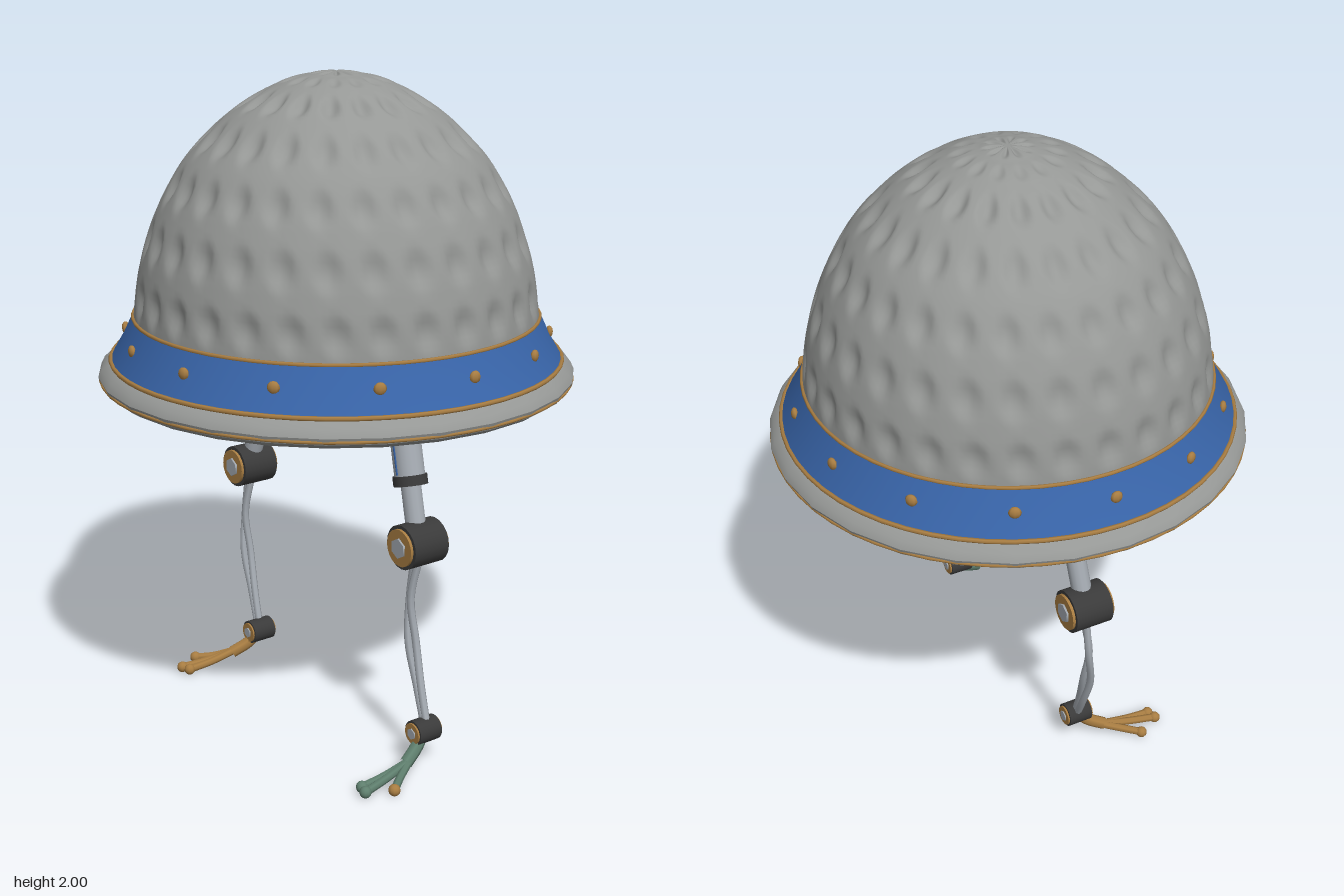
import * as THREE from 'three';
import { mergeVertices, toCreasedNormals } from 'three/addons/utils/BufferGeometryUtils.js';

const makeMaterial = (name, color, side = THREE.FrontSide) => {
  const m = new THREE.MeshStandardMaterial({ color, side });
  m.name = name;
  return m;
};
const V = (x, y, z) => new THREE.Vector3(x, y, z);

export function createModel() {
  const model = new THREE.Group();
  model.name = 'domedWalker';
  const shell = makeMaterial('shellGrey', 0x969896);
  const blue = makeMaterial('bandBlue', 0x3864a8);
  const gold = makeMaterial('brass', 0xa87d42);
  const dark = makeMaterial('charcoal', 0x3a3a3a);
  const steel = makeMaterial('paleSteel', 0xa3a9b0);
  const green = makeMaterial('patinaGreen', 0x5f7f6e);

  const add = (parent, name, geometry, material) => {
    const mesh = new THREE.Mesh(geometry, material);
    mesh.name = name;
    parent.add(mesh);
    return mesh;
  };
  // Turned part from [radius, height] pairs, listed bottom to top
  const lathe = (parent, name, pairs, material, sides) => {
    const g = new THREE.LatheGeometry(pairs.map(([r, y]) => new THREE.Vector2(r, y)), sides);
    return add(parent, name, toCreasedNormals(g, 0.6), material);
  };
  const ring = (name, r, y, thickness) => {
    const mesh = add(model, name, new THREE.TorusGeometry(r, thickness, 6, 56), gold);
    mesh.rotation.x = Math.PI / 2;
    mesh.position.y = y;
  };
  // Cylinder running from point a to point b
  const rod = (parent, name, a, b, r, material, sides = 16, rEnd = r) => {
    const mesh = add(parent, name, new THREE.CylinderGeometry(rEnd, r, a.distanceTo(b), sides), material);
    mesh.position.copy(a).lerp(b, 0.5);
    mesh.quaternion.setFromUnitVectors(V(0, 1, 0), b.clone().sub(a).normalize());
    return mesh;
  };
  const tube = (parent, name, points, r, material) =>
    add(parent, name, new THREE.TubeGeometry(new THREE.CatmullRomCurve3(points), 20, r, 7), material);
  // Hinge drum along z with a brass cap and a hexagonal pin at both ends
  const hinge = (parent, name, c, r, length) => {
    const g = new THREE.Group();
    g.name = name;
    parent.add(g);
    const span = (part, rr, l, m, sides) =>
      rod(g, part, V(c.x, c.y, c.z - l / 2), V(c.x, c.y, c.z + l / 2), rr, m, sides);
    span('drum', r, length, dark, 20);
    span('caps', r * 0.84, length * 1.14, gold, 20);
    span('pin', r * 0.46, length * 1.24, steel, 6);
  };

  // Dome built from courses of dimpled plates: [radius, height, dimples in the course above]
  const courses = [[0.618, 1.26, 30], [0.594, 1.43, 28], [0.537, 1.6, 26], [0.45, 1.75, 22],
    [0.318, 1.88, 18], [0.18, 1.962, 14], [0.086, 1.991, 10], [0, 2, 0]];
  const steps = 9;
  const profile = [];
  for (let i = 0; i < courses.length - 1; i++) {
    const [r0, y0] = courses[i];
    const [r1, y1] = courses[i + 1];
    for (let k = 0; k < steps; k++) {
      const t = k / steps;
      const bulge = 0.016 * t * (1 - t);
      profile.push(new THREE.Vector2(r0 + (r1 - r0) * t + bulge, y0 + (y1 - y0) * t + bulge));
    }
  }
  profile.push(new THREE.Vector2(0, 2));
  const segments = 210;
  let dome = new THREE.LatheGeometry(profile, segments);
  const pos = dome.attributes.position;
  for (let i = 0; i < pos.count; i++) {
    const row = i % profile.length;
    const course = Math.min(Math.floor(row / steps), courses.length - 2);
    const v = (row / steps - course - 0.5) * 2;
    const count = courses[course][2];
    const turn = (Math.floor(i / profile.length) % segments) / segments;
    const u = (((turn * count + course * 0.5) % 1) - 0.5) * 2;
    const d = Math.min(1, Math.hypot(u, v) / 0.72);
    const depth = (course > 4 ? 0.008 : 0.018) * (1 - d * d) ** 1.5;
    const inward = V(pos.getX(i), (pos.getY(i) - 1.2) * 0.6, pos.getZ(i)).normalize().multiplyScalar(-depth);
    pos.setXYZ(i, pos.getX(i) + inward.x, pos.getY(i) + inward.y, pos.getZ(i) + inward.z);
  }
  dome.deleteAttribute('uv');
  dome.deleteAttribute('normal');
  dome = mergeVertices(dome, 1e-5);
  dome.computeVertexNormals();
  add(model, 'dimpledDome', dome, shell);

  // Blue band, brass trims and rivets
  lathe(model, 'blueBand', [[0.69, 1.145], [0.655, 1.205], [0.622, 1.275], [0.6, 1.278]], blue, 56);
  ring('upperTrim', 0.62, 1.275, 0.006);
  ring('lowerTrim', 0.691, 1.145, 0.007);
  ring('rimTrim', 0.724, 1.088, 0.005);
  for (let i = 0; i < 14; i++) {
    const a = (i / 14) * Math.PI * 2;
    const rivet = add(model, 'bandRivet', new THREE.SphereGeometry(0.019, 8, 6), gold);
    rivet.position.set(Math.cos(a) * 0.652, 1.215, Math.sin(a) * 0.652);
    rivet.scale.set(0.6, 1, 1);
    rivet.rotation.y = -a;
  }

  // Flared rim with a flat underside
  lathe(model, 'rim', [[0.4, 1.064], [0.7, 1.064], [0.724, 1.08], [0.731, 1.1],
    [0.72, 1.122], [0.69, 1.143], [0.66, 1.15]], shell, 28);

  // Shallow dark bowl below, with rivets round its edge
  lathe(model, 'underBowl', [[0, 1.0], [0.37, 1.0], [0.41, 1.012], [0.445, 1.035],
    [0.465, 1.066]], dark, 40);
  for (let i = 0; i < 8; i++) {
    const a = (i / 8) * Math.PI * 2;
    const rivet = add(model, 'bowlRivet', new THREE.SphereGeometry(0.03, 10, 6), gold);
    rivet.position.set(Math.cos(a) * 0.405, 1.012, Math.sin(a) * 0.405);
    rivet.scale.y = 0.4;
  }

  // Two small lamps under the front edge
  for (const s of [-1, 1]) {
    const a = V(s * 0.16, 0.992, 0.25);
    const dir = V(s * 0.4, 0, 0.9).normalize();
    const at = (d) => a.clone().addScaledVector(dir, d);
    rod(model, 'lampBody', at(0), at(0.065), 0.03, dark, 10);
    rod(model, 'lampRing', at(0.05), at(0.07), 0.024, gold, 10);
    rod(model, 'lampLens', at(0.06), at(0.074), 0.013, steel, 6);
  }

  // Legs: mirrored pistons, but both shins sweep towards +x
  for (const s of [-1, 1]) {
    const leg = new THREE.Group();
    leg.name = s > 0 ? 'leftLeg' : 'rightLeg';
    model.add(leg);
    const hip = V(s * 0.342, 1.03, 0.008);
    const knee = V(s * 0.449, 0.67, 0.03);
    const along = (t) => hip.clone().lerp(knee, t);
    rod(leg, 'pistonSleeve', hip, along(0.48), 0.046, steel, 20);
    rod(leg, 'pistonCollar', along(0.46), along(0.54), 0.052, dark, 20);
    rod(leg, 'pistonRod', along(0.5), along(0.95), 0.031, steel, 14);
    // Thin blue stripes on the sleeve
    for (const side of [-1, 1]) {
      const shift = V(0, 0, side * 0.044);
      rod(leg, 'sleeveStripe', along(0.1).add(shift), along(0.44).add(shift), 0.0045, blue, 6);
    }
    hinge(leg, 'knee', knee, 0.068, 0.125);

    // Shin made of two cables
    const dx = s > 0 ? 0.445 : -0.453;
    for (const off of [-1, 1]) {
      const gap = (w) => off * w;
      tube(leg, 'shinCable', [V(dx + gap(0.01), 0.62, 0.03), V(dx - 0.016 + gap(0.01), 0.49, 0.04 + gap(0.006)),
        V(dx + 0.008 + gap(0.011), 0.36, 0.05 - gap(0.006)), V(dx + 0.055 + gap(0.011), 0.235, 0.06),
        V(dx + 0.108 + gap(0.006), 0.125, 0.074)], 0.012, steel);
    }
    const ankle = V(s > 0 ? 0.548 : -0.335, 0.115, 0.078);
    hinge(leg, 'ankle', ankle, 0.038, 0.08);

    // Foot with three splayed toes
    const skin = s > 0 ? green : gold;
    const ball = V(ankle.x + s * 0.03, 0.045, 0.17);
    tube(leg, 'instep', [ankle.clone(), V(ankle.x + s * 0.012, 0.075, 0.115), ball], 0.02, skin);
    const toes = [[0.035, 0.335], [0.065, 0.345], [0.105, 0.27]];
    toes.forEach(([x, z], i) => {
      const tip = V(ankle.x + s * x, 0.026, z);
      const mid = ball.clone().lerp(tip, 0.5).add(V(0, -0.003, 0));
      tube(leg, 'toe', [V(ball.x, 0.05, 0.155), mid, tip], 0.0125, skin);
      const end = add(leg, 'toeTip', new THREE.SphereGeometry(0.018, 10, 8), i === 2 ? gold : skin);
      end.position.copy(tip);
    });
  }
  // Settle the toes on the ground
  const box = new THREE.Box3().setFromObject(model);
  model.children.filter((c) => c.name.endsWith('Leg')).forEach((c) => { c.position.y -= box.min.y; });
  return model;
}
